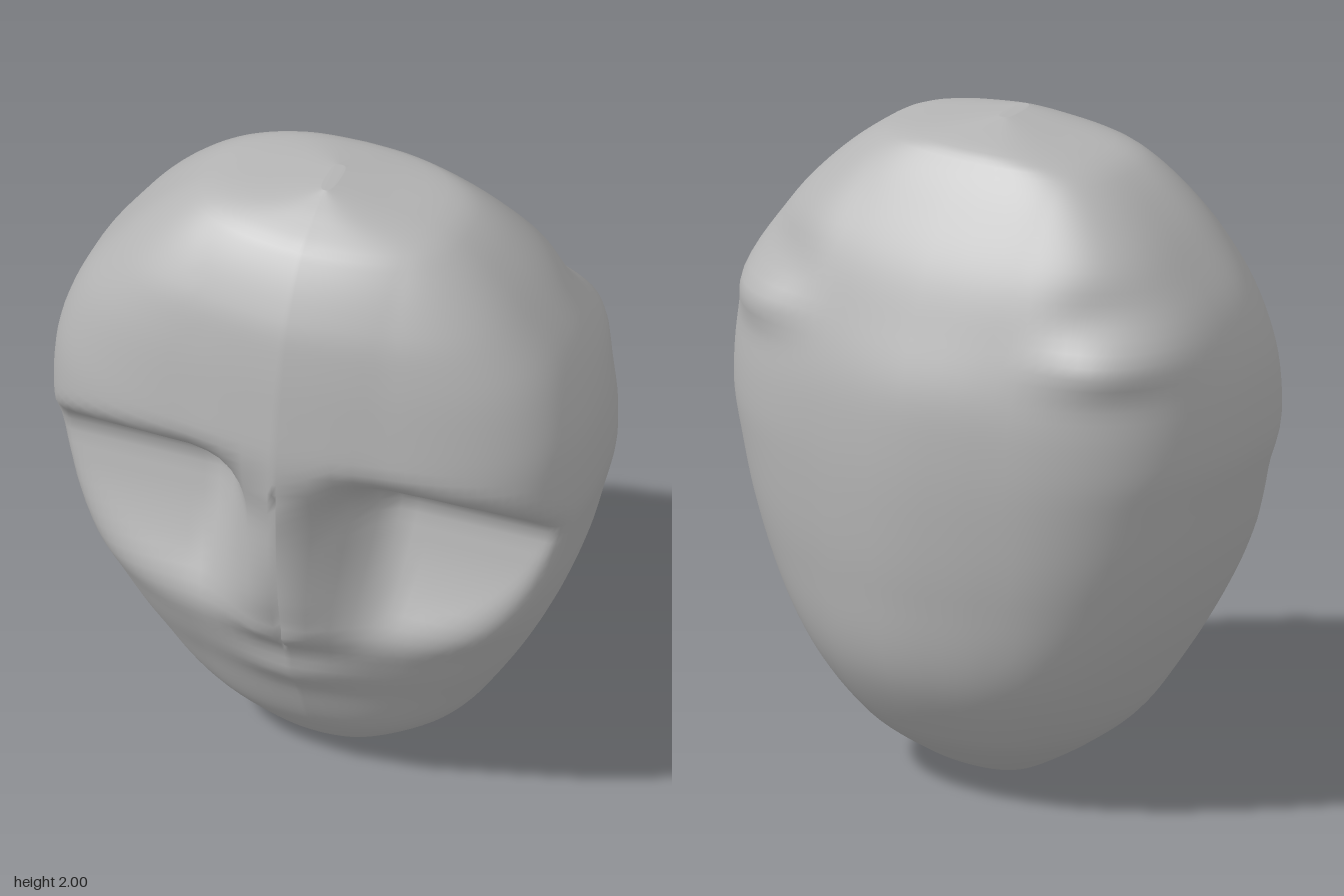
import * as THREE from 'three';

const skin = new THREE.MeshStandardMaterial({ color: 0xb4b4b4 });
skin.name = 'plain grey';

const { smoothstep, clamp } = THREE.MathUtils;
const bump = (v, at, size) => Math.exp(-(((v - at) / size) ** 2));

// Smooth curve through [y, value] points
function profile(points) {
  const slope = (i) => {
    const a = points[Math.max(i - 1, 0)], b = points[Math.min(i + 1, points.length - 1)];
    return (b[1] - a[1]) / (b[0] - a[0]);
  };
  return (y) => {
    let i = 0;
    while (i < points.length - 2 && y > points[i + 1][0]) i++;
    const [y0, v0] = points[i], [y1, v1] = points[i + 1], h = y1 - y0;
    const t = clamp((y - y0) / h, 0, 1), u = 1 - t;
    return v0 * u * u * (1 + 2 * t) + v1 * t * t * (3 - 2 * t)
      + h * t * u * (slope(i) * u - slope(i + 1) * t);
  };
}

// Lesser of two values, with a rounded changeover of size k
function softMin(a, b, k) {
  const h = Math.max(k - Math.abs(a - b), 0) / k;
  return Math.min(a, b) - h * h * k * 0.25;
}

const halfWidth = profile([[0, 0.09], [0.04, 0.17], [0.12, 0.3], [0.2, 0.4], [0.31, 0.49], [0.57, 0.645],
  [0.8, 0.74], [1, 0.795], [1.12, 0.822], [1.3, 0.82], [1.42, 0.795], [1.55, 0.74], [1.67, 0.655],
  [1.8, 0.54], [1.9, 0.42], [1.94, 0.33], [1.97, 0.17], [2, 0.02]]);
const front = profile([[0, 0.07], [0.03, 0.15], [0.12, 0.24], [0.2, 0.295], [0.35, 0.36], [0.45, 0.41],
  [0.57, 0.46], [0.7, 0.53], [0.85, 0.558], [1.1, 0.57], [1.27, 0.565], [1.4, 0.545], [1.6, 0.505],
  [1.73, 0.46], [1.9, 0.34], [1.96, 0.24], [2, 0.15]]);
const back = profile([[0, 0], [0.02, -0.1], [0.1, -0.24], [0.2, -0.36], [0.42, -0.5], [0.7, -0.55],
  [0.95, -0.565], [1.15, -0.56], [1.32, -0.535], [1.5, -0.465], [1.65, -0.395], [1.8, -0.295],
  [1.92, -0.2], [1.96, -0.15], [2, 0.02]]);
const centre = profile([[0, 0.03], [0.3, 0.06], [1, 0.1], [1.7, 0.09], [2, 0.08]]);
// Depth of the eye hollows and cheeks, and the nose's half width
const hollow = profile([[0.3, 0.55], [0.45, 0.51], [0.57, 0.455], [0.77, 0.345], [0.95, 0.275], [1.06, 0.265],
  [1.18, 0.41], [1.3, 0.58], [1.4, 0.7]]);
const noseWidth = profile([[0.4, 0.2], [0.6, 0.16], [0.85, 0.11], [1.06, 0.09], [1.3, 0.14]]);

// One point of the head: height y, angle a (0 = front, PI = back)
function headPoint(y, a) {
  const s = Math.sin(a), c = Math.cos(a), isFront = c > 0;
  const mid = centre(y);
  const reach = (isFront ? front(y) : back(y)) - mid;
  // The upper back is squarer in plan than the rest
  const power = 2 / (isFront ? 2.6 : 2.6 + 0.7 * smoothstep(y, 1.3, 1.7));
  const cz = Math.abs(c) ** power;
  let x = halfWidth(y) * Math.sign(s) * Math.abs(s) ** power;
  const ax = Math.abs(x);
  const ridge = 1 - (isFront ? 0.07 : 0.04) * Math.min(1, ax / 0.3);
  let z = mid + reach * cz * ridge;

  if (isFront) {
    // Nose tip and lips
    z += 0.03 * bump(y, 0.62, 0.045) * bump(ax, 0, 0.16);
    z += 0.025 * bump(y, 0.43, 0.06) * bump(ax, 0, 0.16);
    // Brow, eye hollows and cheeks beside the nose
    const n = noseWidth(y);
    const mask = smoothstep(ax, n * 0.4, n + 0.19) * smoothstep(y, 0.3, 0.5) * (1 - smoothstep(y, 1.3, 1.38));
    z += (softMin(z, hollow(y), 0.07) - z) * mask * smoothstep(cz, 0, 0.35);
    // Narrow groove down the nose
    if (ax < 0.004 && y > 0.57 && y < 1.16) z -= 0.03;
  } else {
    // Raised corners around the back of the skull
    const lift = cz * bump(ax, 0.6, 0.16) * (0.04 * bump(y, 1.45, 0.07) - 0.025 * bump(y, 1.6, 0.08));
    x += Math.sign(x) * lift * 0.7;
    z -= lift;
  }
  return [x, y, z];
}

function headGeometry() {
  const rows = 84, columns = 96, angles = [];
  for (let i = 0; i < columns; i++) {
    angles.push((i / columns) * Math.PI * 2);
    if (i === 0) angles.push(0.005);
  }
  angles.push(Math.PI * 2 - 0.005);
  const n = angles.length, positions = [], index = [];
  for (let r = 0; r <= rows; r++) {
    const y = 1 - Math.cos((Math.PI * r) / rows);
    for (const a of angles) positions.push(...headPoint(y, a));
  }
  for (let r = 0; r < rows; r++) {
    for (let i = 0; i < n; i++) {
      const a = r * n + i, b = r * n + ((i + 1) % n);
      index.push(a, b, b + n, a, b + n, a + n);
    }
  }
  // Close the chin and the crown
  const chin = positions.length / 3, crown = chin + 1;
  positions.push(0, 0, 0.035, 0, 2, 0.08);
  for (let i = 0; i < n; i++) {
    const j = (i + 1) % n;
    index.push(chin, j, i, crown, rows * n + i, rows * n + j);
  }
  const geometry = new THREE.BufferGeometry();
  geometry.setAttribute('position', new THREE.Float32BufferAttribute(positions, 3));
  geometry.setIndex(index);
  geometry.computeVertexNormals();
  return geometry;
}

export function createModel() {
  const model = new THREE.Group();
  model.name = 'headModel';
  const head = new THREE.Mesh(headGeometry(), skin);
  head.name = 'head';
  model.add(head);
  return model;
}
